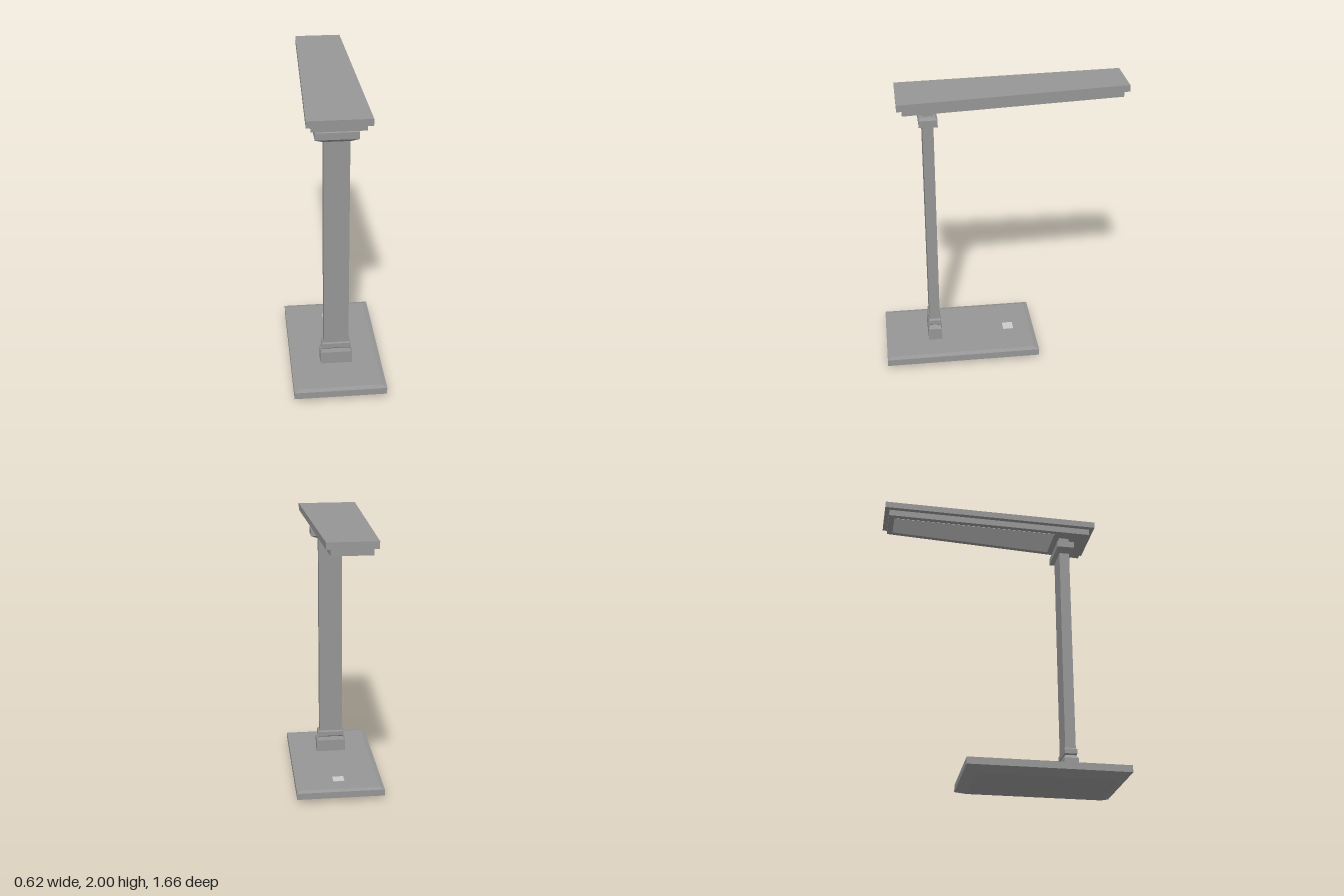
import * as THREE from 'three';

const material = new THREE.MeshStandardMaterial({ color: 0x969696, flatShading: true });
const lightMaterial = new THREE.MeshStandardMaterial({ color: 0xcccccc, flatShading: true });

function add(group, name, geometry, mat = material) {
  const mesh = new THREE.Mesh(geometry, mat);
  mesh.name = name;
  group.add(mesh);
}

// Closed stack of rectangular sections [y, half width, half depth], centred on z = cz
function stack(sections, cz) {
  const pos = [];
  const quad = (a, b, c, d) => pos.push(...a, ...b, ...c, ...a, ...c, ...d);
  const rings = sections.map(([y, w, d]) => [
    [-w, y, cz + d], [w, y, cz + d], [w, y, cz - d], [-w, y, cz - d],
  ]);
  for (let i = 0; i < rings.length - 1; i++) {
    for (let k = 0; k < 4; k++) {
      const n = (k + 1) % 4;
      quad(rings[i][k], rings[i][n], rings[i + 1][n], rings[i + 1][k]);
    }
  }
  const [b, t] = [rings[0], rings[rings.length - 1]];
  quad(b[3], b[2], b[1], b[0]);
  quad(t[0], t[1], t[2], t[3]);
  const geometry = new THREE.BufferGeometry();
  geometry.setAttribute('position', new THREE.Float32BufferAttribute(pos, 3));
  geometry.computeVertexNormals();
  return geometry;
}

// Plate with a plan that narrows from front to back, raised from y by a thickness
function taperedPlate(zFront, wFront, zBack, wBack, y, thickness) {
  const shape = new THREE.Shape([
    new THREE.Vector2(-wFront, -zFront), new THREE.Vector2(wFront, -zFront),
    new THREE.Vector2(wBack, -zBack), new THREE.Vector2(-wBack, -zBack),
  ]);
  return new THREE.ExtrudeGeometry(shape, { depth: thickness, bevelEnabled: false })
    .rotateX(-Math.PI / 2)
    .translate(0, y, 0);
}

export function createModel() {
  const lamp = new THREE.Group();
  lamp.name = 'deskLamp';

  // Base plate with undercut bottom and a fine top bevel
  add(lamp, 'base', stack([
    [0, 0.235, 0.465], [0.032, 0.31, 0.538], [0.079, 0.31, 0.538], [0.088, 0.28, 0.508],
  ], 0.292));

  // Touch pad on the base
  add(lamp, 'touchPad', new THREE.BoxGeometry(0.08, 0.004, 0.075)
    .translate(0, 0.088, -0.06), lightMaterial);

  // Post: foot, lower collar, column and hinge collar
  const postZ = 0.478;
  add(lamp, 'foot', stack([
    [0.085, 0.108, 0.048], [0.177, 0.108, 0.048], [0.205, 0.085, 0.036],
  ], postZ));
  add(lamp, 'lowerCollar', stack([
    [0.203, 0.088, 0.037], [0.211, 0.097, 0.043], [0.244, 0.097, 0.043], [0.253, 0.087, 0.037],
  ], postZ));
  add(lamp, 'column', stack([[0.2, 0.084, 0.036], [1.88, 0.084, 0.036]], postZ));
  add(lamp, 'hingeCollar', stack([
    [1.742, 0.09, 0.038], [1.763, 0.14, 0.061], [1.81, 0.14, 0.061], [1.819, 0.115, 0.05],
  ], postZ));

  // Head: tapered cover over a narrower tray with a pale light panel underneath
  const head = new THREE.Group();
  head.name = 'head';
  head.position.y = 1.927;
  head.rotation.x = 0.032;
  lamp.add(head);
  add(head, 'cover', taperedPlate(0.68, 0.205, -0.832, 0.16, 0, 0.045));
  add(head, 'tray', taperedPlate(0.646, 0.172, -0.8, 0.13, -0.045, 0.045));
  add(head, 'lightPanel', taperedPlate(0.4, 0.13, -0.76, 0.096, -0.047, 0.004), lightMaterial);
  return lamp;
}
